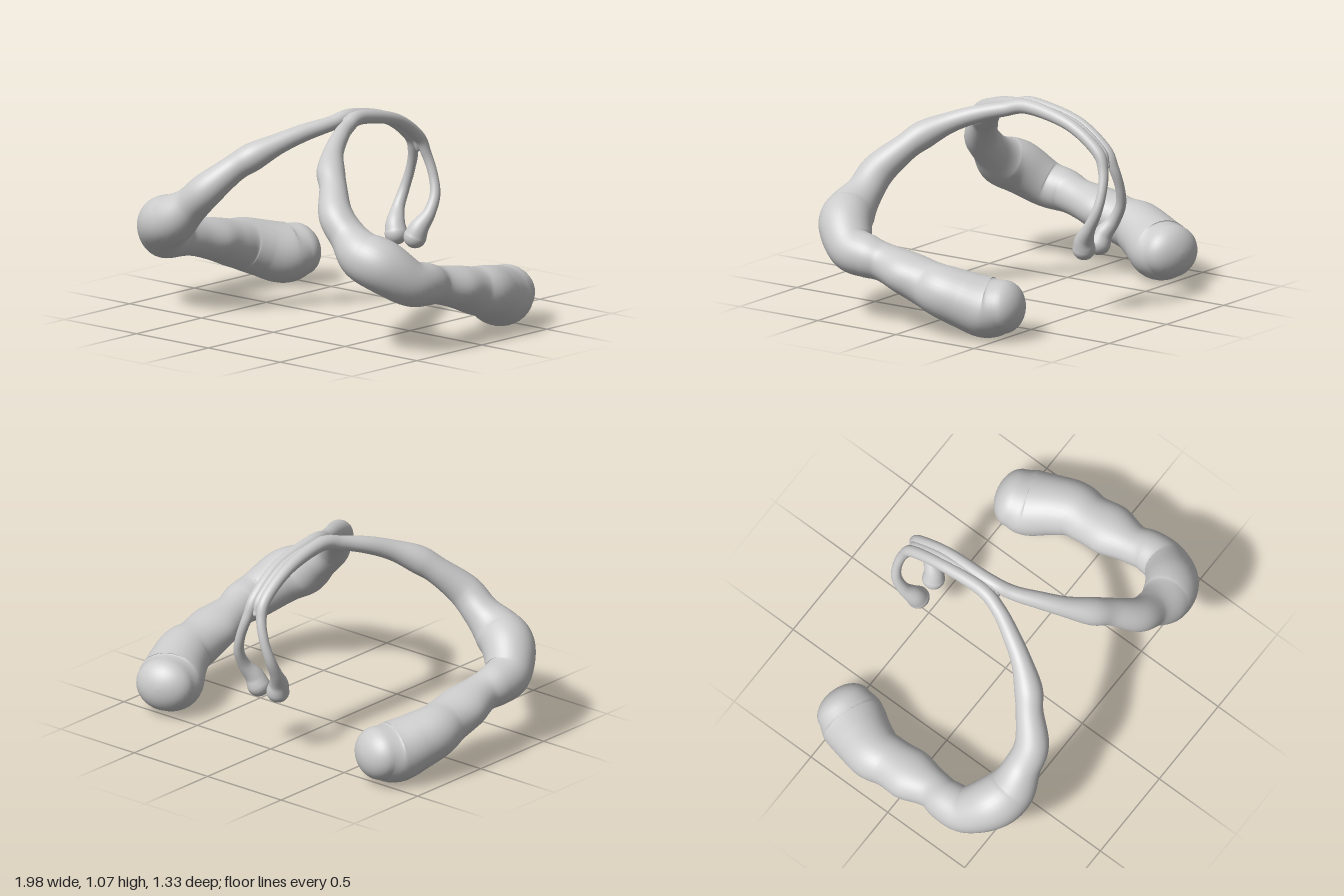
import * as THREE from 'three';

// Centre line stations of one limb: x, y, z, radius
const limbStations = [
  // small bulb and thin descending column
  [0.066, 0.348, -0.52, 0.06],
  [0.084, 0.4, -0.535, 0.05],
  [0.108, 0.47, -0.583, 0.034],
  [0.107, 0.56, -0.628, 0.028],
  [0.08, 0.66, -0.643, 0.025],
  [0.046, 0.77, -0.628, 0.027],
  [0.034, 0.87, -0.578, 0.031],
  // crest where the two limbs run together
  [0.035, 0.985, -0.4, 0.032],
  [0.029, 1.038, -0.14, 0.038],
  // arm sweeping forward and outward
  [0.06, 1.012, 0, 0.039],
  [0.122, 0.978, 0.13, 0.046],
  [0.19, 0.93, 0.25, 0.055],
  [0.27, 0.868, 0.355, 0.074],
  [0.345, 0.805, 0.42, 0.072],
  [0.45, 0.69, 0.515, 0.09],
  [0.55, 0.595, 0.53, 0.098],
  [0.655, 0.515, 0.537, 0.13],
  [0.76, 0.465, 0.5, 0.139],
  [0.848, 0.375, 0.395, 0.122],
  // thick lumpy body running back
  [0.863, 0.35, 0.28, 0.112],
  [0.848, 0.328, 0.18, 0.1],
  [0.848, 0.292, 0.03, 0.111],
  [0.843, 0.252, -0.1, 0.124],
  [0.845, 0.228, -0.2, 0.138],
  [0.81, 0.195, -0.3, 0.148],
  [0.758, 0.16, -0.41, 0.158],
  [0.728, 0.168, -0.49, 0.139],
];

// Web filling the groove between the two limbs along the crest
const webStations = [
  [0, 0.79, -0.618, 0.016],
  [0, 0.87, -0.578, 0.024],
  [0, 0.985, -0.4, 0.026],
  [0, 1.032, -0.14, 0.032],
  [0, 1.022, -0.07, 0.03],
];

// The thick body is broader than tall, most of all at its middle lump and blunt end
const smooth = THREE.MathUtils.smoothstep;
const stretch = ({ x, z }) => x < 0.6 ? 1
  : 1 + 0.07 * smooth(-z, -0.25, -0.1) + 0.2 * Math.exp(-(((z - 0.04) / 0.09) ** 2))
    + 0.08 * smooth(-z, 0.25, 0.5);

// Closed tube of varying radius with domed ends; side is +1 or -1
function tubeGeometry(stations, side, endDepth, steps, sides = 36, capSteps = 10) {
  const centre = new THREE.CatmullRomCurve3(
    stations.map(([x, y, z]) => new THREE.Vector3(x, y, z)), false, 'catmullrom');
  const radius = new THREE.CatmullRomCurve3(
    stations.map(([, , , r]) => new THREE.Vector3(r, 0, 0)), false, 'catmullrom');

  const rings = [];
  const addRing = (t, offset = 0, shrink = 1) => {
    const tangent = centre.getTangent(t);
    const r = radius.getPoint(t).x;
    const c = centre.getPoint(t);
    const s = stretch(c);
    c.addScaledVector(tangent, offset * r);
    rings.push({ c, tangent, r: r * shrink, s });
  };
  for (let i = 0; i < capSteps; i++) {
    const a = (1 - i / capSteps) * Math.PI / 2;
    addRing(0, -Math.sin(a), Math.max(Math.cos(a), 0.001));
  }
  for (let i = 0; i <= steps; i++) addRing(i / steps);
  for (let i = 1; i <= capSteps; i++) {
    const a = (i / capSteps) * Math.PI / 2;
    addRing(1, endDepth * Math.sin(a), Math.max(Math.cos(a), 0.001));
  }

  const positions = [], index = [];
  const normal = new THREE.Vector3(1, 0, 0);
  rings.forEach(({ c, tangent, r, s }, i) => {
    // carry the frame along without twist
    normal.addScaledVector(tangent, -normal.dot(tangent)).normalize();
    const binormal = new THREE.Vector3().crossVectors(tangent, normal);
    for (let j = 0; j < sides; j++) {
      const a = (j / sides) * Math.PI * 2;
      const o = normal.clone().multiplyScalar(Math.cos(a) * r)
        .addScaledVector(binormal, Math.sin(a) * r);
      positions.push(side * (c.x + o.x * s), c.y + o.y, c.z + o.z);
      if (i === rings.length - 1) continue;
      const p = i * sides + j, q = i * sides + (j + 1) % sides;
      const u = p + sides, v = q + sides;
      if (side > 0) index.push(p, q, v, p, v, u);
      else index.push(p, v, q, p, u, v);
    }
  });

  const g = new THREE.BufferGeometry();
  g.setAttribute('position', new THREE.Float32BufferAttribute(positions, 3));
  g.setIndex(index);
  g.computeVertexNormals();
  return g;
}

export function createModel() {
  const model = new THREE.Group();
  model.name = 'archedLimbs';
  const material = new THREE.MeshStandardMaterial({ color: 0xcccccc });
  const add = (name, geometry) => {
    const mesh = new THREE.Mesh(geometry, material);
    mesh.name = name;
    model.add(mesh);
  };
  add('leftLimb', tubeGeometry(limbStations, 1, 0.78, 260));
  add('rightLimb', tubeGeometry(limbStations, -1, 0.78, 260));
  add('crestWeb', tubeGeometry(webStations, 1, 1, 60));
  return model;
}
